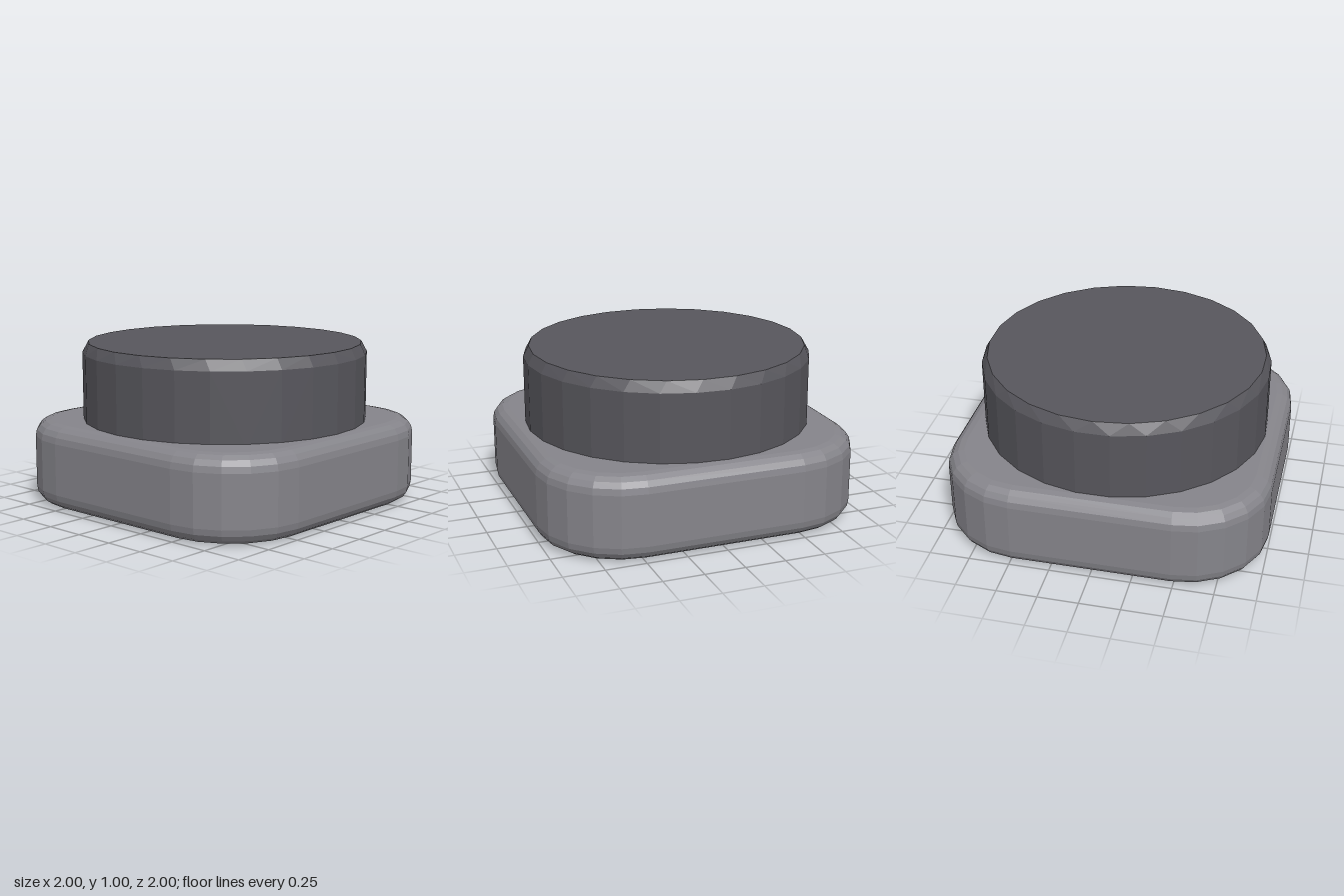
import * as THREE from 'three';
import { ConvexGeometry } from 'three/addons/geometries/ConvexGeometry.js';

// Horizontal ring of points with one corner on +x
function ring(radius, y, sides) {
  return Array.from({ length: sides }, (_, i) => {
    const a = (i / sides) * Math.PI * 2;
    return new THREE.Vector3(radius * Math.cos(a), y, radius * Math.sin(a));
  });
}

// Square outline with five-step rounded corners
function roundedSquare(half, radius, steps = 5) {
  const points = [];
  const inner = half - radius;
  for (let corner = 0; corner < 4; corner++) {
    const mid = (corner + 0.5) * Math.PI / 2;
    const cx = inner * Math.sign(Math.cos(mid));
    const cy = inner * Math.sign(Math.sin(mid));
    for (let i = 0; i <= steps; i++) {
      const a = (corner + i / steps) * Math.PI / 2;
      points.push(new THREE.Vector2(cx + radius * Math.cos(a), cy + radius * Math.sin(a)));
    }
  }
  return new THREE.Shape(points);
}

function part(name, geometry, color) {
  const material = new THREE.MeshStandardMaterial({ color, flatShading: true });
  const mesh = new THREE.Mesh(geometry, material);
  mesh.name = name;
  return mesh;
}

export function createModel() {
  const model = new THREE.Group();
  model.name = 'roundButton';

  // Base: rounded square slab with softly bevelled top and bottom edges
  const bevel = 0.1;
  const height = 0.52;
  const base = new THREE.ExtrudeGeometry(roundedSquare(1 - bevel, 0.52 - bevel), {
    depth: height - 2 * bevel,
    bevelSize: bevel,
    bevelThickness: bevel,
    bevelSegments: 4,
  });
  base.translate(0, 0, bevel);
  base.rotateX(-Math.PI / 2);
  model.add(part('base', base, 0x85848a));

  // Cap: faceted drum whose chamfer ends in a slightly smaller top face
  const cap = new ConvexGeometry([
    ...ring(0.895, 0.5, 27),
    ...ring(0.895, 0.94, 27),
    ...ring(0.86, 1.005, 26),
  ]);
  model.add(part('cap', cap, 0x57565c));

  return model;
}
